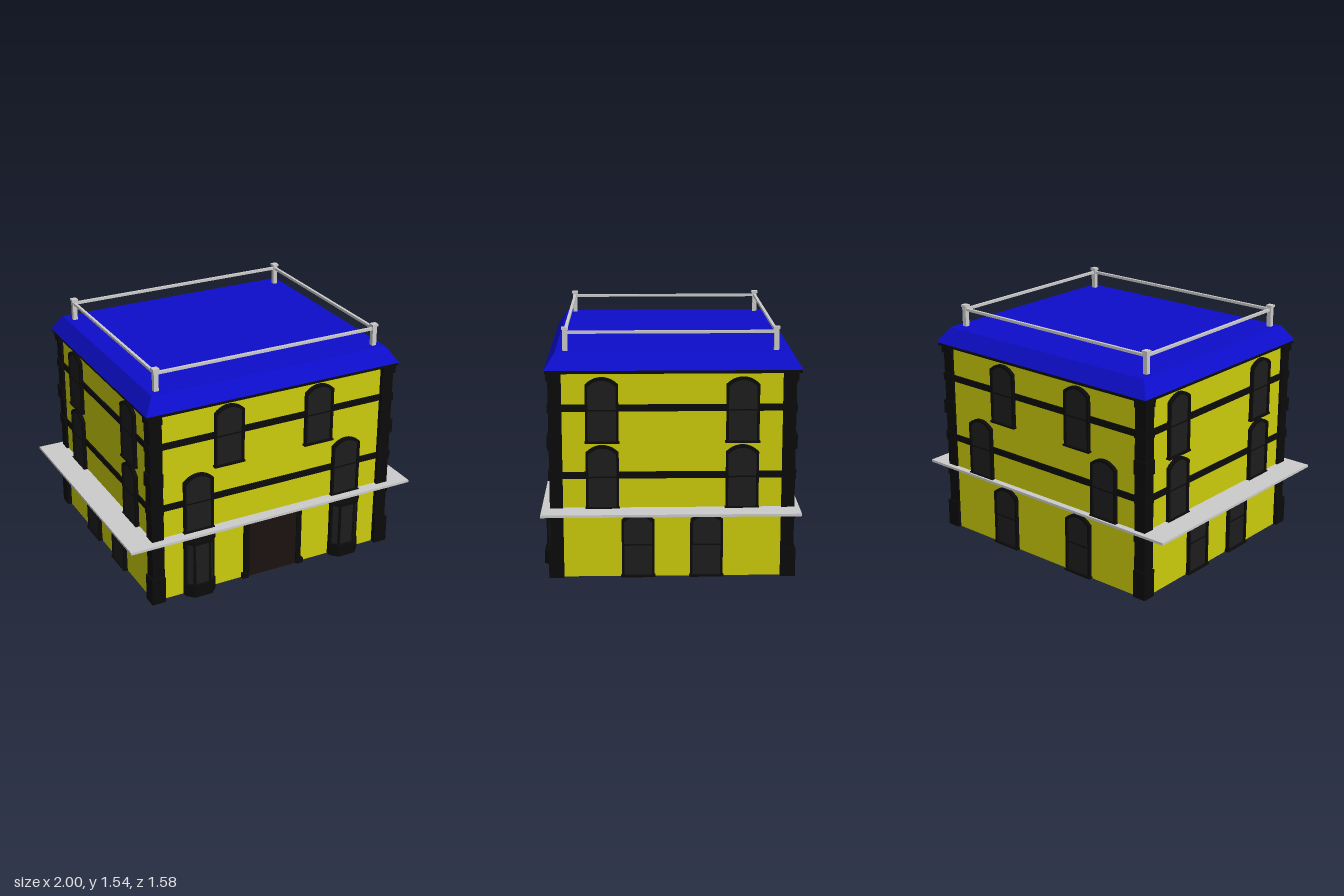
import * as THREE from 'three';

const mat = (color) => new THREE.MeshStandardMaterial({ color, side: THREE.DoubleSide, flatShading: true });
const YELLOW = mat(0xcccc0c), BLUE = mat(0x0d0dcc), BLACK = mat(0x0b0b0b);
const GLASS = mat(0x1d1d1d), DOOR = mat(0x1b120f), GREY = mat(0xcccccc);

function add(parent, name, geometry, material, x = 0, y = 0, z = 0) {
  const m = new THREE.Mesh(geometry, material);
  m.name = name;
  m.position.set(x, y, z);
  parent.add(m);
  return m;
}
// box given by its centre in x and z and its bottom and top in y
function box(parent, name, material, w, d, y0, y1, x = 0, z = 0) {
  return add(parent, name, new THREE.BoxGeometry(w, y1 - y0, d), material, x, (y0 + y1) / 2, z);
}
function archPath(PathType, w, y0, y1, rise) {
  const p = new PathType();
  p.moveTo(-w / 2, y0);
  p.lineTo(w / 2, y0);
  p.lineTo(w / 2, y1 - rise);
  p.quadraticCurveTo(w * 0.27, y1, 0, y1);
  p.quadraticCurveTo(-w * 0.27, y1, -w / 2, y1 - rise);
  p.closePath();
  return p;
}
const extrude = (shape, depth) => new THREE.ExtrudeGeometry(shape, { depth, bevelEnabled: false, curveSegments: 5 });

// arched window, visible on both faces of the wall
function archedWindow(parent, x, y0, h) {
  const g = new THREE.Group();
  g.name = 'window';
  g.position.set(x, y0, 0);
  const frame = archPath(THREE.Shape, 0.2, 0, h, 0.045);
  frame.holes.push(archPath(THREE.Path, 0.17, 0.012, h - 0.018, 0.04));
  add(g, 'windowFrame', extrude(frame, 0.05), BLACK, 0, 0, -0.028);
  add(g, 'windowPane', extrude(archPath(THREE.Shape, 0.175, 0.005, h - 0.015, 0.04), 0.03), GLASS, 0, 0, -0.02);
  box(g, 'windowBar', BLACK, 0.17, 0.036, h * 0.49, h * 0.51, 0, -0.003);
  box(g, 'windowSill', BLACK, 0.21, 0.055, 0, 0.012);
  parent.add(g);
}

// half-octagon outline projecting forward
function bayShape(w, front, depth) {
  const s = new THREE.Shape();
  s.moveTo(-w / 2, 0);
  s.lineTo(-w / 2, -depth * 0.45);
  s.lineTo(-front / 2, -depth);
  s.lineTo(front / 2, -depth);
  s.lineTo(w / 2, -depth * 0.45);
  s.lineTo(w / 2, 0);
  s.closePath();
  return s;
}
function bayWindow(parent, x) {
  const g = new THREE.Group();
  g.name = 'bayWindow';
  g.position.set(x, 0, -0.005);
  const layer = (name, m, w, f, d, y0, y1) =>
    add(g, name, extrude(bayShape(w, f, d), y1 - y0).rotateX(-Math.PI / 2).translate(0, y0, 0), m);
  layer('bayBase', BLACK, 0.21, 0.12, 0.085, 0, 0.085);
  layer('bayGlass', GLASS, 0.185, 0.1, 0.066, 0.085, 0.385);
  layer('bayCornice', BLACK, 0.21, 0.12, 0.085, 0.375, 0.395);
  layer('bayCap', BLACK, 0.18, 0.1, 0.06, 0.395, 0.42);
  for (const s of [-1, 1]) {
    box(g, 'bayMullion', BLACK, 0.014, 0.014, 0.085, 0.38, s * 0.052, 0.063);
    box(g, 'bayJamb', BLACK, 0.018, 0.035, 0.085, 0.38, s * 0.093, 0.016);
  }
  parent.add(g);
}

export function createModel() {
  const model = new THREE.Group();
  model.name = 'townBuilding';
  const house = new THREE.Group();
  house.name = 'house';
  house.position.set(0.01, 0, -0.01);
  model.add(house);
  const HX = 0.835, HZ = 0.735;

  // four walls: outward turn, distance, half length, window offsets per storey
  const sides = [
    { name: 'front', turn: 0, dist: HZ - 0.015, half: HX, low: 0, mid: 0.527, top: 0.315 },
    { name: 'left', turn: Math.PI / 2, dist: HX, half: HZ - 0.015, low: 0.21, mid: 0.424, top: 0.424 },
    { name: 'back', turn: Math.PI, dist: HZ, half: HX, low: 0.315, mid: 0.527, top: 0.315 },
    { name: 'right', turn: -Math.PI / 2, dist: HX, half: HZ - 0.015, low: 0.21, mid: 0.424, top: 0.424 },
  ];
  for (const s of sides) {
    const side = new THREE.Group();
    side.name = s.name + 'Side';
    side.rotation.y = s.turn;
    side.position.set(Math.sin(s.turn) * s.dist, 0, Math.cos(s.turn) * s.dist);
    house.add(side);
    box(side, 'wall', YELLOW, s.half * 2, 0.016, 0, 1.29, 0, -0.008);
    for (const y of [0.628, 1.045])
      box(side, 'stringCourse', BLACK, s.half * 2, 0.034, y, y + 0.042, 0, -0.008);
    for (const m of [-1, 1]) {
      archedWindow(side, m * s.top, 0.85, 0.405);
      archedWindow(side, m * s.mid, 0.437, 0.4);
      if (s.low) archedWindow(side, m * s.low, 0, 0.41);
      else bayWindow(side, m * s.mid);
    }
    // entrance on the front
    if (s.name === 'front') {
      box(side, 'door', DOOR, 0.36, 0.036, 0, 0.41, 0, -0.006);
      box(side, 'doorLintel', BLACK, 0.43, 0.06, 0.4, 0.43, 0, -0.004);
      for (const m of [-1, 1]) {
        box(side, 'doorJamb', BLACK, 0.035, 0.05, 0, 0.41, m * 0.19, -0.004);
        box(side, 'doorPlinth', BLACK, 0.045, 0.06, 0, 0.035, m * 0.2, -0.002);
      }
    }
  }

  // corner pillars with raised blocks
  const blocks = [[0, 0.18, 0.012], [0.37, 0.425, 0.006], [0.62, 0.68, 0.006],
    [0.81, 0.9, 0.01], [1.04, 1.09, 0.006], [1.23, 1.29, 0.01]];
  for (const sx of [-1, 1]) for (const sz of [-1, 1]) {
    const p = new THREE.Group();
    p.name = 'cornerPillar';
    p.position.set(sx * 0.809, 0, sz * 0.705);
    house.add(p);
    box(p, 'pillarShaft', BLACK, 0.08, 0.08, 0, 1.29);
    for (const [y0, y1, out] of blocks)
      box(p, 'pillarBlock', BLACK, 0.08 + out, 0.08 + out, y0, y1, sx * out / 2, sz * out / 2);
  }

  // flat canopy ring, running a little inside the walls
  const ring = new THREE.Shape([[-1, -0.785], [1, -0.785], [1, 0.785], [-1, 0.785]].map((p) => new THREE.Vector2(...p)));
  ring.holes.push(new THREE.Path([[-0.69, -0.57], [-0.69, 0.57], [0.7, 0.57], [0.7, -0.57]].map((p) => new THREE.Vector2(...p))));
  add(model, 'canopy', extrude(ring, 0.016).rotateX(-Math.PI / 2), GREY, 0, 0.427, 0);

  // eaves and sloped roof
  const roof = new THREE.Group();
  roof.name = 'roof';
  roof.position.set(0.01, 0, -0.017);
  model.add(roof);
  box(roof, 'eaves', BLACK, 1.74, 1.535, 1.28, 1.3);
  const geo = new THREE.BoxGeometry(1.75, 0.1, 1.545);
  const pos = geo.attributes.position;
  for (let i = 0; i < pos.count; i++)
    if (pos.getY(i) > 0) {
      pos.setX(i, Math.sign(pos.getX(i)) * 0.81);
      pos.setZ(i, Math.sign(pos.getZ(i)) * 0.707);
    }
  geo.computeVertexNormals();
  add(roof, 'roofSlope', geo, BLUE, 0, 1.35, 0);

  // roof railing
  const railing = new THREE.Group();
  railing.name = 'railing';
  railing.position.set(0.008, 0, -0.003);
  model.add(railing);
  const RX = 0.755, RZ = 0.634;
  for (const s of [-1, 1]) {
    box(railing, 'rail', GREY, RX * 2, 0.018, 1.503, 1.52, 0, s * RZ);
    box(railing, 'rail', GREY, 0.018, RZ * 2, 1.503, 1.52, s * RX, 0);
    for (const t of [-1, 1]) {
      box(railing, 'railPost', GREY, 0.03, 0.03, 1.4, 1.53, s * RX, t * RZ);
      box(railing, 'railPostCap', GREY, 0.041, 0.041, 1.528, 1.543, s * RX, t * RZ);
    }
  }
  return model;
}
